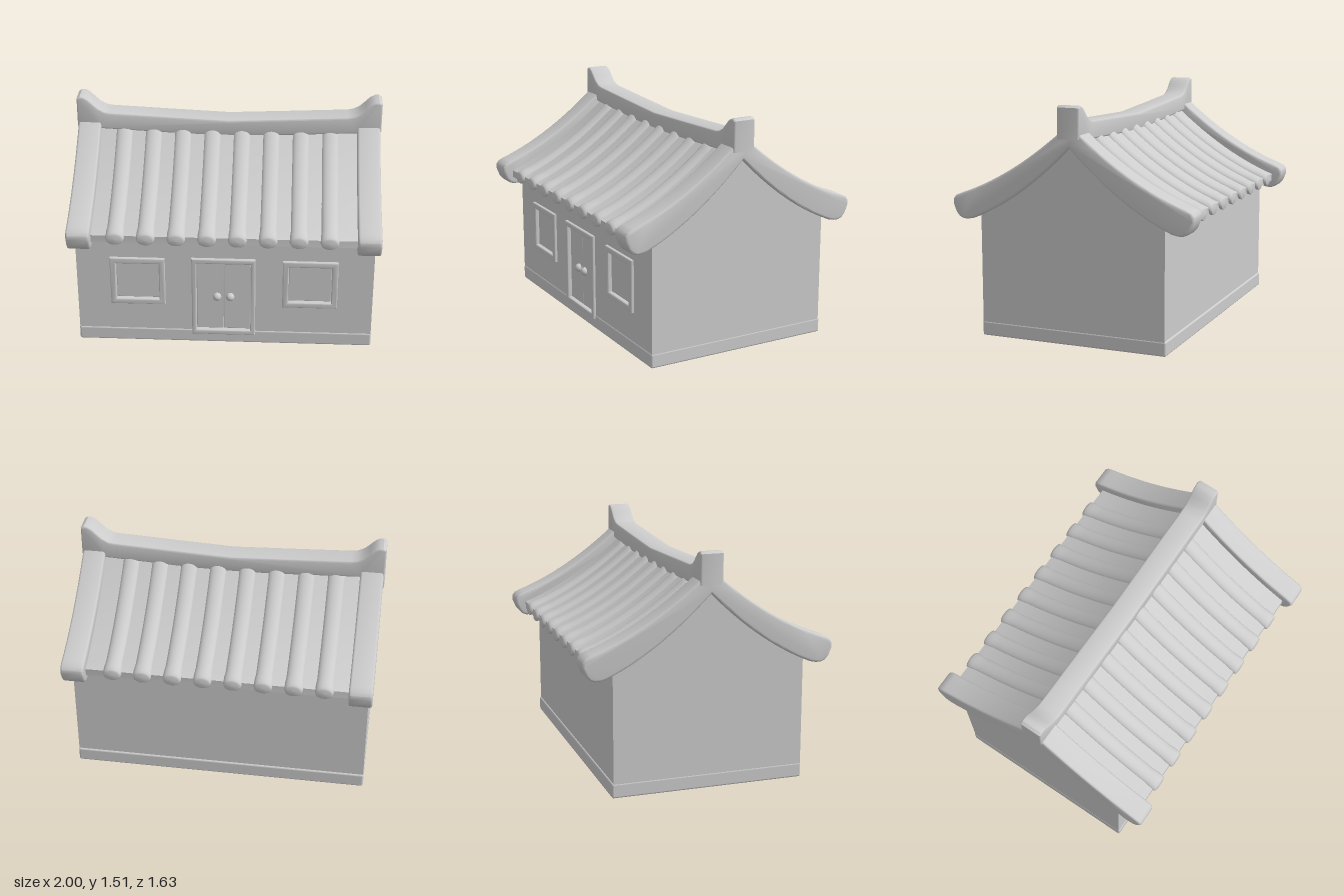
import * as THREE from 'three';
import { toCreasedNormals } from 'three/addons/utils/BufferGeometryUtils.js';
import { RoundedBoxGeometry } from 'three/addons/geometries/RoundedBoxGeometry.js';

const clay = new THREE.MeshStandardMaterial({ color: 0xcccccc });
clay.name = 'clay grey';

// Roof curves: height as a function of distance from the ridge
const roofTop = (z) => 1.4 - 0.9 * z + 0.36 * z * z;
const gableLine = (z) => 1.25 - 1.02 * z + 0.45 * z * z;

const sample = (f, a, b, n = 14) =>
  Array.from({ length: n + 1 }, (_, i) => {
    const z = a + ((b - a) * i) / n;
    return [z, f(z)];
  });

const polygon = (pts) => new THREE.Shape(pts.map(([x, y]) => new THREE.Vector2(x, y)));

// Closed outline from one half running from the ridge top round to the ridge underside
const mirrored = (half) =>
  polygon([...half, ...half.slice(1, -1).reverse().map(([z, y]) => [-z, y])]);

function rect(w, h, cx = 0, cy = 0, Type = THREE.Shape) {
  const p = new Type();
  p.moveTo(cx - w / 2, cy - h / 2);
  p.lineTo(cx + w / 2, cy - h / 2);
  p.lineTo(cx + w / 2, cy + h / 2);
  p.lineTo(cx - w / 2, cy + h / 2);
  p.closePath();
  return p;
}

// Extrusion of total depth d, centred on z = 0, with a soft edge
function solid(shape, d, bevel = 0) {
  const g = new THREE.ExtrudeGeometry(shape, {
    depth: d - 2 * bevel, bevelEnabled: bevel > 0, bevelSize: bevel,
    bevelThickness: bevel, bevelOffset: -bevel, bevelSegments: 3,
  });
  g.translate(0, 0, bevel - d / 2);
  return toCreasedNormals(g, 0.6);
}

// Same, but the profile lies in the z-y plane and runs along x
const along = (shape, d, bevel) => solid(shape, d, bevel).rotateY(-Math.PI / 2);

function createModel() {
  const model = new THREE.Group();
  model.name = 'house';
  const add = (name, geo, x = 0, y = 0, z = 0, parent = model) => {
    const m = new THREE.Mesh(geo, clay);
    m.name = name;
    m.position.set(x, y, z);
    parent.add(m);
    return m;
  };

  // Plinth and walls
  add('plinth', new RoundedBoxGeometry(1.935, 0.095, 1.26, 3, 0.012), 0, 0.0475, 0);
  const half = sample((z) => roofTop(z) - 0.1, 0, 0.62);
  const body = [
    ...half.filter(([z]) => z <= 0.58), [0.59, roofTop(0.59) - 0.1], [0.59, 0.05],
    [-0.62, 0.05], ...half.slice(1).reverse().map(([z, y]) => [-z, y]),
  ];
  add('walls', along(polygon(body), 1.93));

  // Front wall with openings
  const openings = [
    { name: 'door', x: -0.007, y: 0.355, w: 0.416, h: 0.575, iw: 0.353, ih: 0.505 },
    { name: 'leftWindow', x: 0.556, y: 0.463, w: 0.358, h: 0.345, iw: 0.278, ih: 0.265 },
    { name: 'rightWindow', x: -0.567, y: 0.463, w: 0.358, h: 0.345, iw: 0.278, ih: 0.265 },
  ];
  const front = rect(1.93, 0.81, 0, 0.455);
  for (const o of openings) front.holes.push(rect(o.iw + 0.02, o.ih + 0.02, o.x, o.y, THREE.Path));
  add('frontWall', solid(front, 0.04), 0, 0, 0.605);

  // Frames, panes and door leaves
  for (const o of openings) {
    const frame = rect(o.w, o.h);
    frame.holes.push(rect(o.iw, o.ih, 0, 0, THREE.Path));
    add(o.name + 'Frame', solid(frame, 0.055, 0.009), o.x, o.y, 0.6175);
    if (o.name !== 'door') {
      add(o.name + 'Pane', new RoundedBoxGeometry(o.iw, o.ih, 0.03, 2, 0.004), o.x, o.y, 0.602);
      continue;
    }
    for (const s of [-1, 1]) {
      add('doorLeaf', new RoundedBoxGeometry(o.iw / 2, o.ih, 0.04, 2, 0.005), o.x + (s * o.iw) / 4, o.y, 0.597);
      add('doorKnob', new THREE.SphereGeometry(0.028, 20, 14), o.x + s * 0.043, 0.35, 0.622);
    }
  }

  // Eave beams
  for (const s of [-1, 1])
    add('eaveBeam', new RoundedBoxGeometry(1.74, 0.12, 0.05, 2, 0.008), 0, 0.81, s * 0.615);

  // Roof slab under the cover tiles
  const slab = [
    ...sample((z) => roofTop(z) - 0.07, 0, 0.745),
    ...sample((z) => roofTop(z) - 0.118, 0.745, 0),
  ];
  add('roofSlab', along(mirrored(slab), 1.72, 0.014));

  // Cover tile: a rounded rod, flattened and bent to the roof curve
  const rod = [
    [0, 0.02], [0.056, 0.02], ...sample(() => 0.056, 0.1, 0.68, 16).map(([z, r]) => [r, z]),
    [0.06, 0.715], [0.06, 0.745], [0.055, 0.759], [0.045, 0.765], [0, 0.767],
  ];
  const tile = new THREE.LatheGeometry(rod.map(([r, z]) => new THREE.Vector2(r, z)), 24);
  tile.rotateX(Math.PI / 2).scale(1, 0.72, 1);
  const p = tile.attributes.position;
  for (let i = 0; i < p.count; i++) p.setY(i, p.getY(i) + roofTop(p.getZ(i)) - 0.082);
  tile.computeVertexNormals();
  for (let i = 0; i < 8; i++)
    for (const turn of [0, Math.PI])
      add('coverTile', tile, -0.689 + i * 0.194).rotation.y = turn;

  // Gable boards with rounded tails
  const board = mirrored([
    ...sample(roofTop, 0, 0.76), [0.795, 0.908], [0.812, 0.885], [0.814, 0.855], [0.792, 0.8],
    [0.768, 0.772], [0.738, 0.76], [0.705, 0.761], ...sample(gableLine, 0.67, 0),
  ]);
  const boardGeo = along(board, 0.15, 0.015);
  for (const s of [-1, 1]) add(s > 0 ? 'leftGableBoard' : 'rightGableBoard', boardGeo, s * 0.918);

  // Ridge beam with upswept ends
  const sweep = [
    [0, 1.366], [0.4, 1.384], [0.78, 1.402], [0.82, 1.41], [0.86, 1.432], [0.895, 1.465],
    [0.925, 1.495], [0.955, 1.511], [0.98, 1.513], [1, 1.5], [1, 1.305], [0.84, 1.29], [0, 1.25],
  ];
  add('ridge', solid(mirrored(sweep), 0.15, 0.012));

  return model;
}

export { createModel };
